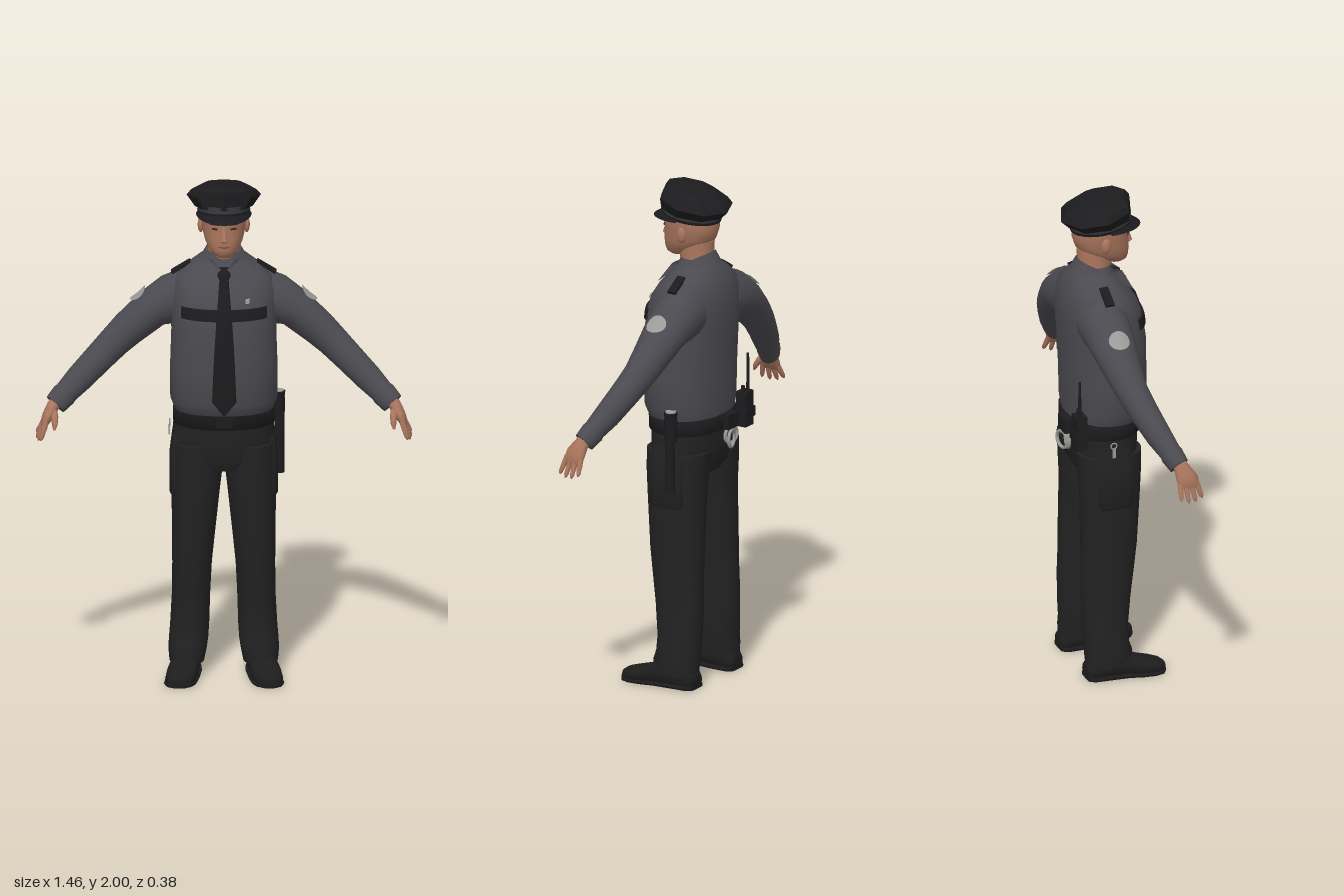
import * as THREE from 'three';
import { toCreasedNormals } from 'three/addons/utils/BufferGeometryUtils.js';

const V = (x, y, z) => new THREE.Vector3(x, y, z);

// Closed skin over rings { c, u, v }: centre plus two half axes, p < 1 is boxier
function loft(rings, seg = 24, p = 1, crease = 0.8) {
  const pos = [], idx = [];
  const bend = (t) => Math.sign(t) * Math.pow(Math.abs(t), p);
  for (const { c, u, v } of rings) {
    for (let j = 0; j < seg; j++) {
      const a = (j / seg) * Math.PI * 2;
      const q = c.clone().addScaledVector(u, bend(Math.cos(a))).addScaledVector(v, bend(Math.sin(a)));
      pos.push(q.x, q.y, q.z);
    }
  }
  const n = rings.length, first = n * seg, last = first + 1;
  pos.push(...rings[0].c.toArray(), ...rings[n - 1].c.toArray());
  for (let j = 0; j < seg; j++) {
    const k = (j + 1) % seg;
    for (let i = 0; i < n - 1; i++) {
      const a = i * seg + j, b = i * seg + k;
      idx.push(a, b, a + seg, b, b + seg, a + seg);
    }
    idx.push(first, k, j, last, (n - 1) * seg + j, (n - 1) * seg + k);
  }
  const g = new THREE.BufferGeometry();
  g.setAttribute('position', new THREE.Float32BufferAttribute(pos, 3));
  g.setIndex(idx);
  return toCreasedNormals(g, crease);
}

// Upright loft from rows [y, half width, z front, z back, rise of the back edge], centred on x
function stack(rows, x = 0, seg = 24, p = 1, crease = 0.8) {
  return loft(rows.map(([y, w, f, b, rise = 0]) => ({
    c: V(x, y + rise / 2, (f + b) / 2), u: V(w, 0, 0), v: V(0, rise / 2, (b - f) / 2),
  })), seg, p, crease);
}

// Loft along a path of [x, y, z, radius, radius towards z], mirrored by side
function limb(rows, side = 1, seg = 16) {
  const pts = rows.map((r) => V(r[0] * side, r[1], r[2]));
  return loft(rows.map((r, i) => {
    const d = pts[Math.min(i + 1, pts.length - 1)].clone().sub(pts[Math.max(i - 1, 0)]).normalize();
    const v = V(0, 0, 1).addScaledVector(d, -d.z).normalize();
    const u = v.clone().cross(d);
    return { c: pts[i], u: u.multiplyScalar(r[3]), v: v.multiplyScalar(r[4] ?? r[3]) };
  }), seg);
}

const TORSO = [
  [1.06, 0.185, 0.125, -0.145], [1.10, 0.197, 0.148, -0.15], [1.125, 0.207, 0.156, -0.152],
  [1.25, 0.208, 0.163, -0.155], [1.40, 0.203, 0.163, -0.165], [1.50, 0.205, 0.148, -0.17],
  [1.56, 0.2, 0.128, -0.168], [1.61, 0.185, 0.095, -0.158], [1.65, 0.14, 0.06, -0.143],
  [1.69, 0.085, 0.035, -0.12], [1.71, 0.07, 0.03, -0.1],
];
const TORSO_P = 0.9;

// z of the shirt front at x, y
function chestZ(x, y) {
  const i = Math.max(1, TORSO.findIndex((r) => r[0] >= y));
  const A = TORSO[i - 1], B = TORSO[i], t = (y - A[0]) / (B[0] - A[0]);
  const [, w, f, b] = A.map((a, k) => a + (B[k] - a) * t);
  const c = Math.min(1, Math.pow(Math.abs(x) / w, 1 / TORSO_P));
  return (f + b) / 2 + ((f - b) / 2) * Math.pow(1 - c * c, TORSO_P / 2);
}

// Thin plate wrapped on the chest
function chestPlate(x, y, w, h) {
  const g = new THREE.BoxGeometry(w, h, 0.009, 10, 3, 1).translate(x, y, 0);
  const a = g.attributes.position;
  for (let i = 0; i < a.count; i++) a.setZ(i, a.getZ(i) + chestZ(a.getX(i), a.getY(i)) + 0.004);
  g.computeVertexNormals();
  return g;
}

export function createModel() {
  const root = new THREE.Group();
  const mat = (name, color, side = THREE.FrontSide) => {
    const m = new THREE.MeshStandardMaterial({ color, side });
    m.name = name;
    return m;
  };
  const shirt = mat('shirt grey', 0x4b4a50, THREE.DoubleSide);
  const trouser = mat('trouser black', 0x222222);
  const black = mat('cloth black', 0x1c1c1e, THREE.DoubleSide);
  const shoeMat = mat('shoe leather', 0x1e1d1d);
  const slate = mat('cap band slate', 0x3a3c42);
  const skin = mat('skin', 0xab765e);
  const lip = mat('lips', 0x8a5548);
  const hair = mat('brow brown', 0x3a2a24);
  const silver = mat('silver', 0x9a9a98, THREE.DoubleSide);
  const add = (name, geo, m, parent = root) => {
    const mesh = new THREE.Mesh(geo, m);
    mesh.name = name;
    parent.add(mesh);
    return mesh;
  };
  const box = (w, h, d, x, y, z) => new THREE.BoxGeometry(w, h, d).translate(x, y, z);
  const ball = (r, sx, sy, sz, x, y, z) => new THREE.SphereGeometry(r, 14, 10).scale(sx, sy, sz).translate(x, y, z);

  // Shirt, collar band and tie
  add('shirt', stack(TORSO, 0, 36, TORSO_P), shirt);
  add('collar', stack([[1.635, 0.095, 0.075, -0.125, 0.06], [1.665, 0.074, 0.045, -0.1, 0.075]]), shirt);
  add('tie', stack([
    [1.095, 0.004, 0.172, 0.164], [1.15, 0.047, 0.174, 0.162], [1.30, 0.041, 0.173, 0.161],
    [1.42, 0.034, 0.169, 0.157], [1.50, 0.028, 0.158, 0.146], [1.56, 0.023, 0.138, 0.122],
    [1.62, 0.018, 0.102, 0.082], [1.63, 0.024, 0.101, 0.06], [1.662, 0.03, 0.075, 0.04],
  ], 0, 12, 0.6), black);

  // Hips and belt
  add('hips', stack([[0.85, 0.13, 0.1, -0.11], [0.89, 0.198, 0.117, -0.134], [0.97, 0.2, 0.121, -0.141],
    [1.08, 0.19, 0.128, -0.146]], 0, 32, 0.9), trouser);
  add('belt', stack([[1.025, 0.194, 0.132, -0.15], [1.03, 0.197, 0.137, -0.153], [1.083, 0.197, 0.14, -0.154],
    [1.088, 0.193, 0.134, -0.15]], 0, 32, 0.9), black);
  add('buckle', box(0.06, 0.04, 0.01, 0, 1.057, 0.14), black);

  for (const s of [1, -1]) {
    const sideName = s > 0 ? 'left' : 'right';
    const part = (name, geo, m) => add(sideName + name, geo, m);

    // Sleeve and cuff
    part('Sleeve', limb([
      [0.12, 1.52, -0.05, 0.115, 0.1], [0.21, 1.5, -0.055, 0.096, 0.095], [0.275, 1.465, -0.055, 0.077, 0.088],
      [0.37, 1.385, -0.045, 0.069, 0.07], [0.42, 1.338, -0.035, 0.063, 0.062], [0.475, 1.285, -0.015, 0.059, 0.057],
      [0.56, 1.203, 0.02, 0.054, 0.05], [0.61, 1.155, 0.045, 0.047, 0.042], [0.618, 1.147, 0.048, 0.05, 0.045],
      [0.652, 1.113, 0.065, 0.045, 0.04]], s, 20), shirt);

    // Hand with four fingers and a thumb
    const hand = new THREE.Group();
    hand.name = sideName + 'Hand';
    root.add(hand);
    add('palm', limb([[0.635, 1.14, 0.057, 0.026, 0.028], [0.66, 1.11, 0.07, 0.025, 0.03],
      [0.68, 1.075, 0.083, 0.022, 0.042], [0.695, 1.045, 0.088, 0.016, 0.042],
      [0.7, 1.035, 0.088, 0.008, 0.036]], s), skin, hand);
    for (let i = 0; i < 4; i++) {
      const z = 0.056 + i * 0.021, len = [0.8, 0.97, 1, 0.9][i];
      const tx = 0.045 - i * 0.007, tz = (i - 1) * 0.01;
      add('finger', limb([0, 0.45, 0.85, 1].map((t, k) => [
        0.688 + tx * t * len, 1.058 - (0.078 * t) * len, z + tz * t, [0.0115, 0.0105, 0.0085, 0.003][k]]), s, 8), skin, hand);
    }
    add('thumb', limb([[0.66, 1.1, 0.085, 0.014], [0.655, 1.075, 0.115, 0.014], [0.655, 1.05, 0.133, 0.011],
      [0.657, 1.03, 0.141, 0.004]], s, 8), skin, hand);

    // Sleeve badge, curved to the arm
    const disc = new THREE.CircleGeometry(0.042, 20).rotateX(-Math.PI / 2).scale(0.95, 1, 1);
    const dp = disc.attributes.position;
    for (let i = 0; i < dp.count; i++) dp.setY(i, -(dp.getZ(i) ** 2) / 0.16);
    disc.computeVertexNormals();
    const badge = part('SleevePatch', disc, silver);
    badge.position.set(0.333 * s, 1.529, -0.055);
    badge.rotation.z = -0.72 * s;

    // Shoulder strap, collar point and pocket flap
    const strap = part('ShoulderStrap', new THREE.BoxGeometry(0.085, 0.012, 0.035), black);
    strap.position.set(0.165 * s, 1.637, -0.042);
    strap.rotation.z = -0.55 * s;
    const tip = new THREE.BufferGeometry().setFromPoints([
      V(0.088 * s, 1.69, -0.01), V(0.07 * s, 1.6, 0.108), V(0.012 * s, 1.66, 0.082),
      V(0.088 * s, 1.69, -0.01), V(0.012 * s, 1.66, 0.082), V(0.045 * s, 1.69, 0.038)]);
    tip.computeVertexNormals();
    part('CollarPoint', tip, shirt);
    part('PocketFlap', chestPlate(0.094 * s, 1.493, 0.145, 0.044), black);

    // Trouser leg and side pocket: rows of y, inner x, outer x, front z, back z
    const leg = [
      [0.055, 0.075, 0.21, 0.06, -0.118], [0.10, 0.066, 0.214, 0.068, -0.122], [0.14, 0.06, 0.212, 0.055, -0.12],
      [0.2, 0.056, 0.207, 0.052, -0.125], [0.33, 0.052, 0.2, 0.066, -0.13], [0.45, 0.046, 0.199, 0.082, -0.127],
      [0.55, 0.036, 0.2, 0.095, -0.128], [0.76, 0.014, 0.202, 0.11, -0.127], [0.86, 0.002, 0.205, 0.116, -0.133],
      [0.95, -0.002, 0.2, 0.119, -0.138]];
    part('TrouserLeg', loft(leg.map(([y, a, b, f, k]) => ({
      c: V(s * (a + b) / 2, y, (f + k) / 2), u: V((b - a) / 2, 0, 0), v: V(0, 0, (k - f) / 2),
    })), 24, 0.9), trouser);
    part('SidePocket', stack([[0.735, 0.022, 0.055, -0.075], [0.745, 0.028, 0.065, -0.085], [0.9, 0.028, 0.065, -0.085],
      [0.98, 0.018, 0.05, -0.07]], 0.182 * s, 16, 0.7), trouser);

    // Shoe and sole: rows of z, x, half width, height
    const shoe = [[-0.122, 0.143, 0.035, 0.06], [-0.1, 0.143, 0.052, 0.08], [-0.03, 0.145, 0.056, 0.095],
      [0.04, 0.152, 0.056, 0.093], [0.09, 0.162, 0.06, 0.07], [0.14, 0.17, 0.058, 0.057],
      [0.175, 0.174, 0.044, 0.047], [0.19, 0.175, 0.02, 0.036]];
    const shoeRings = (grow, h) => shoe.map(([z, x, w, t]) => ({
      c: V(x * s, (h ?? t) / 2, z), u: V(w + grow, 0, 0), v: V(0, (h ?? t) / 2, 0) }));
    part('Shoe', loft(shoeRings(0), 16, 0.75), shoeMat);
    part('Sole', loft(shoeRings(0.005, 0.018), 12, 0.4), black);

    // Ear, brow and eye
    part('Ear', ball(0.03, 0.4, 1.05, 0.65, 0.089 * s, 1.815, -0.014), skin);
    const brow = part('Brow', new THREE.BoxGeometry(0.036, 0.006, 0.008), hair);
    brow.position.set(0.036 * s, 1.848, 0.098);
    brow.rotation.y = 0.4 * s;
    const eye = part('Eye', new THREE.BoxGeometry(0.022, 0.007, 0.006), hair);
    eye.position.set(0.036 * s, 1.829, 0.097);
    eye.rotation.y = 0.4 * s;
  }

  // Head, neck and face
  add('neck', stack([[1.64, 0.064, 0.03, -0.1], [1.70, 0.061, 0.038, -0.094], [1.78, 0.062, 0.045, -0.1]]), skin);
  add('head', stack([
    [1.708, 0.025, 0.088, 0.03], [1.72, 0.044, 0.102, 0.0], [1.74, 0.06, 0.108, -0.045], [1.765, 0.073, 0.109, -0.08],
    [1.79, 0.08, 0.109, -0.105], [1.83, 0.086, 0.105, -0.118], [1.86, 0.09, 0.11, -0.12], [1.9, 0.088, 0.106, -0.117],
  ], 0, 28, 0.95, 1.2), skin);
  add('nose', stack([[1.776, 0.012, 0.114, 0.09], [1.784, 0.017, 0.127, 0.09], [1.8, 0.011, 0.122, 0.09],
    [1.84, 0.007, 0.109, 0.09]], 0, 10), skin);
  add('lips', ball(0.02, 1.1, 0.28, 0.4, 0, 1.758, 0.103), lip);

  // Cap: band, octagonal crown and peak
  add('capBand', stack([[1.885, 0.098, 0.115, -0.122, -0.023], [1.92, 0.106, 0.118, -0.13, -0.035]], 0, 28), slate);
  add('capTrim', stack([[1.88, 0.1, 0.117, -0.124, -0.023], [1.893, 0.103, 0.119, -0.127, -0.026]], 0, 28), black);
  add('capCrown', stack([[1.908, 0.112, 0.122, -0.133, -0.033], [1.958, 0.144, 0.118, -0.168, -0.05],
    [1.978, 0.125, 0.115, -0.15, -0.043], [2.0, 0.082, 0.098, -0.1, -0.03]], 0, 8, 1, 0.3), black);
  const peak = new THREE.RingGeometry(1, 2, 24, 2, 0, Math.PI);
  const pp = peak.attributes.position;
  for (let i = 0; i < pp.count; i++) {
    const r = Math.hypot(pp.getX(i), pp.getY(i)), c = pp.getX(i) / r, h = pp.getY(i) / r, k = r - 1;
    pp.setXYZ(i, c * (0.1 + 0.008 * k), 1.876 + 0.01 * h - 0.026 * k * (0.4 + 0.6 * h), h * (0.116 + 0.041 * k));
  }
  peak.computeVertexNormals();
  add('capPeak', peak, black);

  // Baton in its holder on the left hip
  const rod = (r0, r1, h, x, y, z) => new THREE.CylinderGeometry(r0, r1, h, 14).translate(x, y, z);
  add('baton', rod(0.018, 0.02, 0.32, 0.216, 0.965, -0.045), black);
  add('batonHolder', rod(0.026, 0.024, 0.09, 0.212, 1.06, -0.046), black);
  add('batonHead', rod(0.027, 0.024, 0.025, 0.212, 1.12, -0.046), black);
  add('batonCap', rod(0.021, 0.021, 0.006, 0.212, 1.134, -0.046), silver);

  // Radio on the right of the back
  add('radio', box(0.056, 0.14, 0.045, -0.15, 1.07, -0.15), black);
  add('radioClip', box(0.066, 0.04, 0.055, -0.15, 1.055, -0.15), black);
  add('radioAerial', rod(0.005, 0.007, 0.16, -0.165, 1.21, -0.155), black);
  add('radioKnob', rod(0.008, 0.008, 0.025, -0.138, 1.15, -0.15), black);

  // Handcuffs and pouch at the back, keys on the right hip
  add('cuffPouch', box(0.07, 0.06, 0.03, -0.03, 1.055, -0.162), black);
  for (const k of [0, 1]) {
    add('handcuff', new THREE.TorusGeometry(0.034, 0.007, 8, 20).rotateY(k ? 0.25 : -0.15)
      .translate(-0.042 + k * 0.018, 0.993 - k * 0.008, -0.158 - k * 0.014), silver);
  }
  add('keyRing', new THREE.TorusGeometry(0.012, 0.003, 6, 14).rotateY(Math.PI / 2).translate(-0.208, 1.012, -0.03), silver);
  add('key', box(0.005, 0.04, 0.012, -0.21, 0.982, -0.03), silver);

  // Small chest pin
  add('chestPin', chestPlate(0.09, 1.545, 0.016, 0.016), silver);
  return root;
}
